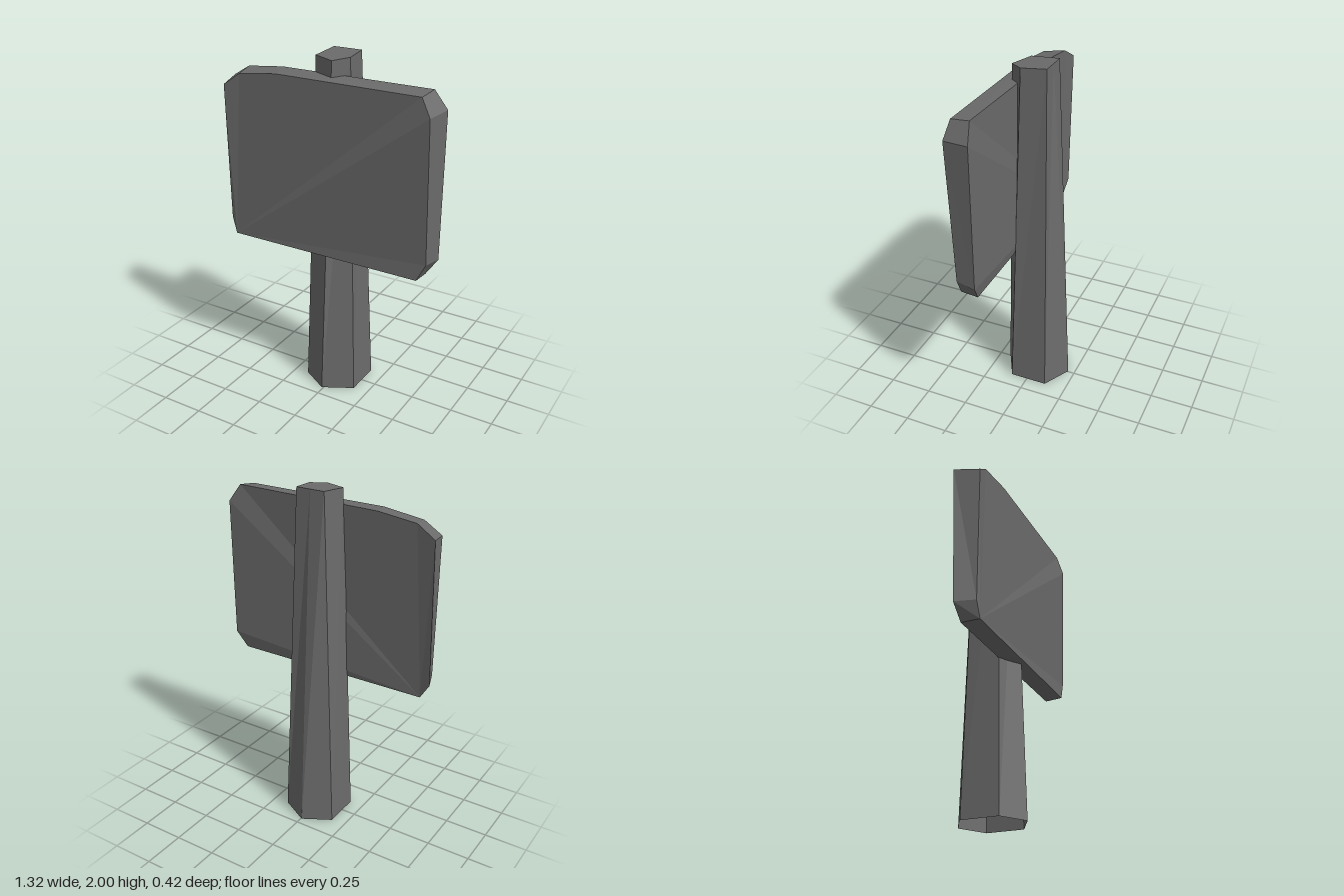
import * as THREE from 'three';

// Joins two matching loops of corners; each loop may be closed with a cap.
// Loops run counter-clockwise when seen from the end loop.
function loft(start, end, capStart, capEnd) {
  const pos = [];
  const tri = (...corners) => corners.forEach((c) => pos.push(...c));
  const n = start.length;
  for (let i = 0; i < n; i++) {
    const j = (i + 1) % n;
    tri(start[i], start[j], end[j]);
    tri(start[i], end[j], end[i]);
  }
  for (let i = 1; i < n - 1; i++) {
    if (capStart) tri(start[0], start[i + 1], start[i]);
    if (capEnd) tri(end[0], end[i], end[i + 1]);
  }
  const geometry = new THREE.BufferGeometry();
  geometry.setAttribute('position', new THREE.Float32BufferAttribute(pos, 3));
  geometry.computeVertexNormals();
  return geometry;
}

export function createModel() {
  const group = new THREE.Group();
  const stone = new THREE.MeshStandardMaterial({ color: 0x6b6b6b, flatShading: true, side: THREE.DoubleSide });
  stone.name = 'darkGrey';

  const add = (name, geometry) => {
    const mesh = new THREE.Mesh(geometry, stone);
    mesh.name = name;
    group.add(mesh);
  };

  // Tapered six-sided post, open underneath, with a slightly skewed top
  const postFoot = [
    [-0.01, 0, 0.19], [0.16, 0, 0.1], [0.16, 0, -0.12],
    [-0.005, 0, -0.21], [-0.165, 0, -0.12], [-0.165, 0, 0.1],
  ];
  const postTop = [
    [0.03, 1.98, 0.127], [0.097, 1.99, 0.05], [0.085, 2, -0.09],
    [0, 2, -0.091], [-0.085, 2, -0.09], [-0.098, 1.985, 0.075],
  ];
  add('post', loft(postFoot, postTop, false, true));

  // Hand-cut board with clipped corners, narrower at the front
  const boardBack = [
    [-0.6, 0.885, 0.085], [0.585, 0.885, 0.085], [0.65, 0.98, 0.068],
    [0.657, 1.8, 0.065], [0.59, 1.9, 0.085], [-0.31, 1.895, 0.068],
    [-0.54, 1.87, 0.063], [-0.65, 1.805, 0.05], [-0.66, 0.98, 0.07],
  ];
  const boardFront = [
    [-0.59, 0.89, 0.188], [0.58, 0.89, 0.188], [0.63, 0.99, 0.182],
    [0.63, 1.79, 0.213], [0.575, 1.885, 0.195], [-0.28, 1.885, 0.187],
    [-0.52, 1.855, 0.183], [-0.62, 1.785, 0.195], [-0.62, 0.985, 0.182],
  ];
  add('signBoard', loft(boardBack, boardFront, true, true));

  return group;
}
